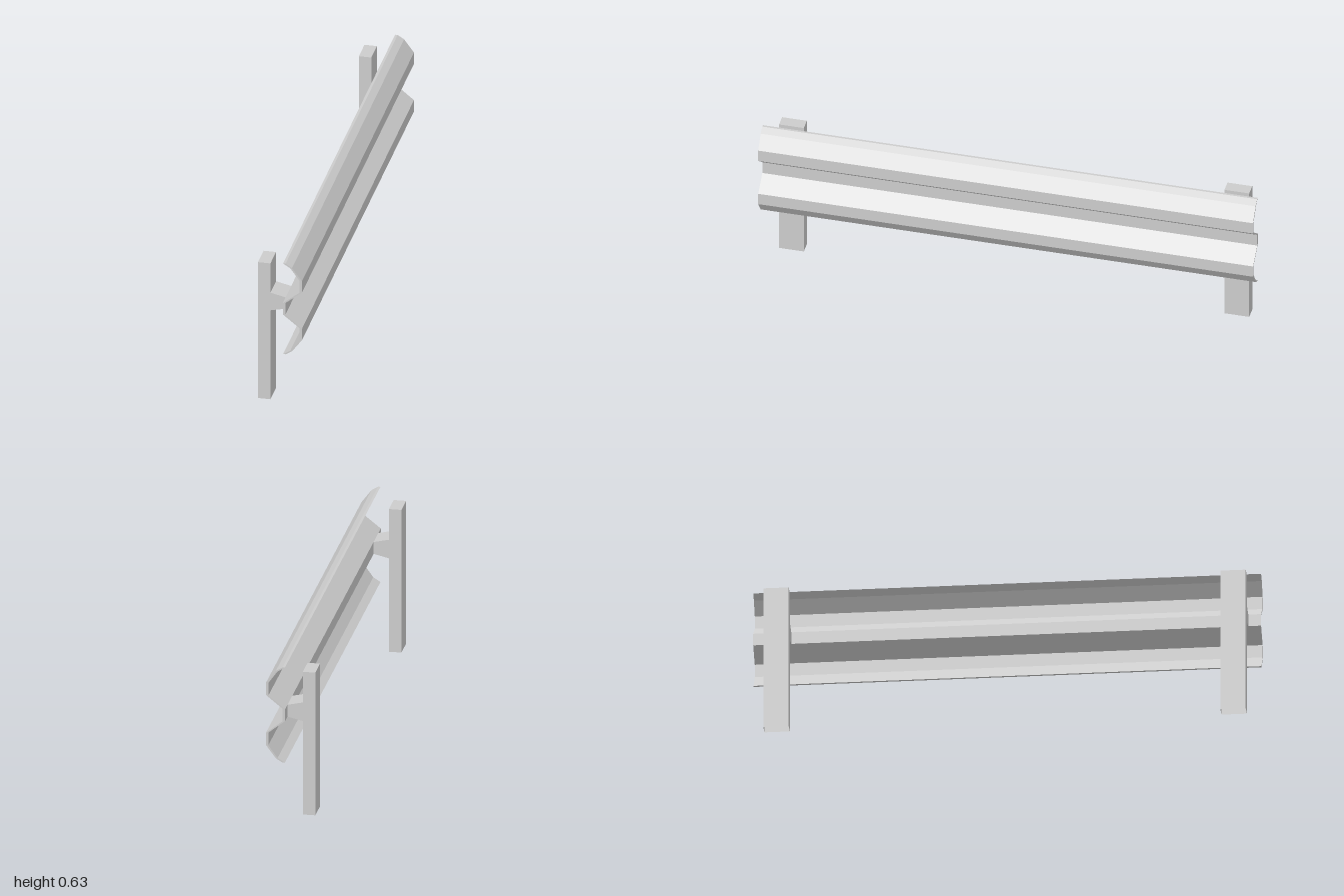
import * as THREE from 'three';

const material = new THREE.MeshStandardMaterial({ color: 0xcccccc, flatShading: true, side: THREE.DoubleSide });
const MID = 0.432; // height of the rail's centre line

// Extrude an x/y outline along z, centred on z = 0
function extrude(points, length) {
  const shape = new THREE.Shape(points.map(([x, y]) => new THREE.Vector2(x, y)));
  return new THREE.ExtrudeGeometry(shape, { depth: length, bevelEnabled: false }).translate(0, 0, -length / 2);
}

function addMesh(parent, name, geometry) {
  const mesh = new THREE.Mesh(geometry, material);
  mesh.name = name;
  parent.add(mesh);
  return mesh;
}

// Complete half a rail line by mirroring it below the centre height
function mirrored(half) {
  const upper = half.map(([x, y]) => [x, MID + y]);
  const lower = half.map(([x, y]) => [x, MID - y]).reverse();
  return [...upper, ...lower];
}

export function createModel() {
  const model = new THREE.Group();
  model.name = 'guardrail';

  // Corrugated rail: front and back faces of a thin folded sheet
  const front = mirrored([[0.027, 0.2], [0.053, 0.184], [0.093, 0.13], [0.093, 0.08], [0.026, 0.026]]);
  const back = mirrored([[0.017, 0.2], [0.046, 0.182], [0.083, 0.131], [0.083, 0.078], [0.016, 0.025]]);
  addMesh(model, 'rail', extrude([...front, ...back.reverse()], 2));

  // Hollow post, open at the foot: drop the box's bottom face
  const postGeometry = new THREE.BoxGeometry(0.05, 0.6, 0.1).translate(-0.07, 0.3, 0);
  const index = Array.from(postGeometry.index.array);
  index.splice(18, 6);
  postGeometry.setIndex(index);
  postGeometry.clearGroups();

  // Tapered bracket between post and rail
  const bracketGeometry = extrude([[-0.045, 0.393], [0.016, 0.407], [0.016, 0.457], [-0.045, 0.471]], 0.1);

  for (const [side, z] of [['front', 0.9], ['back', -0.9]]) {
    const support = new THREE.Group();
    support.name = side + 'Support';
    support.position.z = z;
    addMesh(support, side + 'Post', postGeometry);
    addMesh(support, side + 'Bracket', bracketGeometry);
    model.add(support);
  }
  return model;
}
